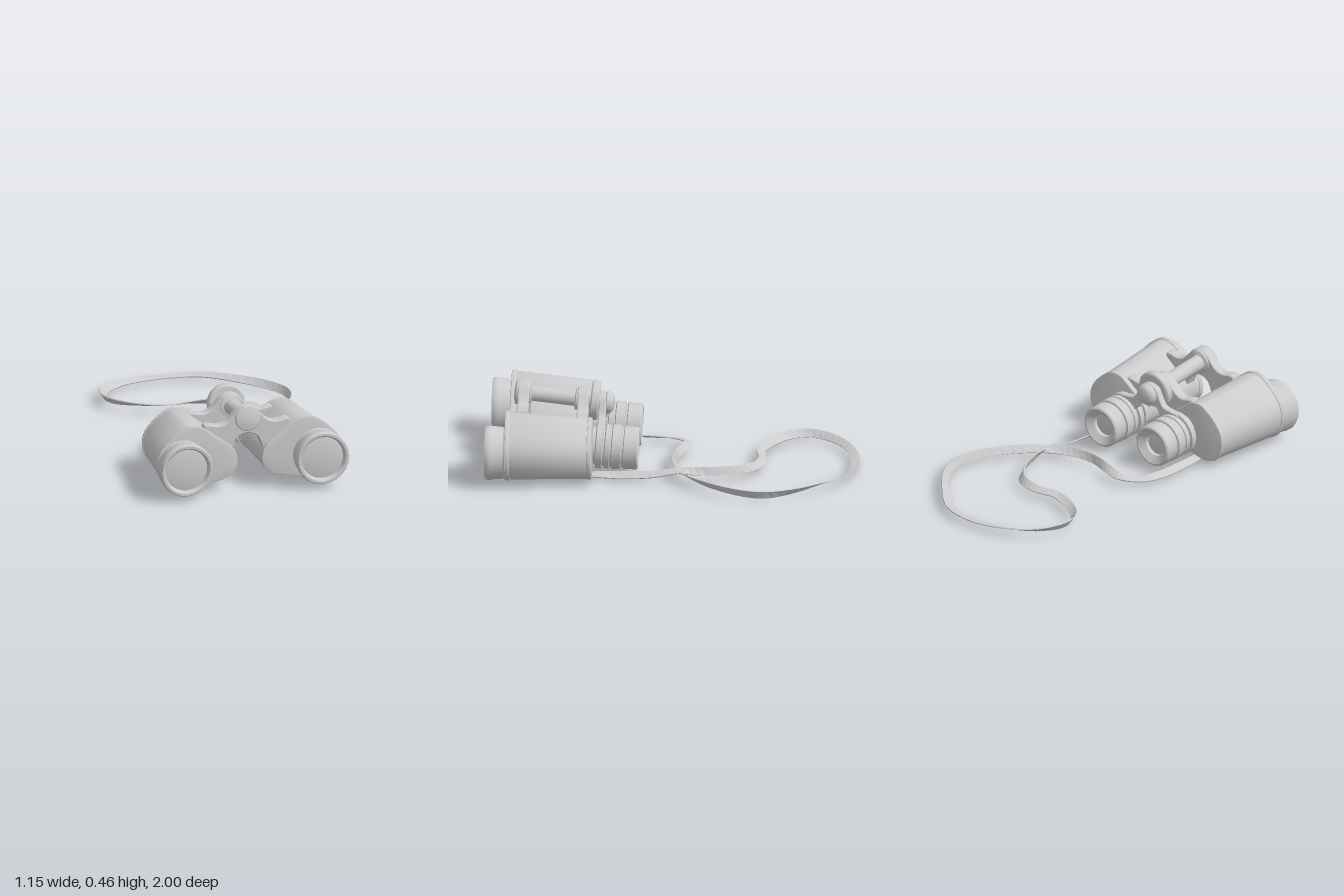
import * as THREE from 'three';
import { toCreasedNormals } from 'three/addons/utils/BufferGeometryUtils.js';

const grey = new THREE.MeshStandardMaterial({ color: 0xcccccc });
const strapGrey = new THREE.MeshStandardMaterial({ color: 0xcccccc, side: THREE.DoubleSide, flatShading: true });

function add(parent, name, geometry, x = 0, y = 0, z = 0, material = grey) {
  const mesh = new THREE.Mesh(geometry, material);
  mesh.name = name;
  mesh.position.set(x, y, z);
  parent.add(mesh);
  return mesh;
}

// Turned part along z from [radius, z] pairs, listed from back to front
function turned(profile, sides = 24) {
  const g = new THREE.LatheGeometry(profile.map(([r, z]) => new THREE.Vector2(r, z)), sides);
  return toCreasedNormals(g.rotateX(Math.PI / 2), 0.6);
}

function closedShape(points, samples) {
  const curve = new THREE.CatmullRomCurve3(points.map(([x, y]) => new THREE.Vector3(x, y, 0)), true, 'centripetal');
  return new THREE.Shape(curve.getPoints(samples).slice(0, -1).map(p => new THREE.Vector2(p.x, p.y)));
}

// Cross-section of a prism housing, measured from the hinge line
const housingSection = [
  [0.515, 0.2], [0.48, 0.28], [0.36, 0.378], [0.32, 0.383], [0.27, 0.372], [0.19, 0.315],
  [0.105, 0.25], [0.08, 0.215], [0.075, 0.15], [0.1, 0.105], [0.15, 0.078], [0.23, 0.065],
  [0.31, 0.045], [0.38, 0.033], [0.45, 0.05], [0.5, 0.11],
];

// Housing slice between two depths, tapering towards the eyepieces
function housing(side, z0, z1, grow) {
  const shape = closedShape(housingSection.map(([x, y]) => [x * side, y]), 56);
  const bevel = 0.006;
  const g = new THREE.ExtrudeGeometry(shape, {
    depth: z1 - z0 - 2 * bevel, bevelThickness: bevel, bevelSize: bevel, bevelOffset: grow - bevel, bevelSegments: 2,
  });
  g.translate(0, 0, z0 + bevel);
  const p = g.attributes.position;
  for (let i = 0; i < p.count; i++) {
    const f = 0.89 + 0.11 * (p.getZ(i) - 0.43) / 0.46;
    p.setX(i, side * (0.08 + (p.getX(i) * side - 0.08) * f));
    p.setY(i, 0.03 + (p.getY(i) - 0.03) * f);
  }
  return toCreasedNormals(g, 0.6);
}

// Symmetrical plate from the outline of its +x half
function bridge(half, depth) {
  const mirrored = half.filter(p => p[0] > 0).map(([x, y]) => [-x, y]).reverse();
  return toCreasedNormals(new THREE.ExtrudeGeometry(closedShape([...half, ...mirrored], 64), {
    depth: depth - 0.01, bevelThickness: 0.005, bevelSize: 0.005, bevelOffset: -0.005, bevelSegments: 1,
  }), 0.6);
}

// Flat strap along [x, y, z, roll] points, with a thin rectangular section
function strap(points, width, thickness, steps) {
  const curve = new THREE.CatmullRomCurve3(points.map(p => new THREE.Vector3(p[0], p[1], p[2])), false, 'centripetal');
  const up = new THREE.Vector3(0, 1, 0);
  const position = [], index = [];
  for (let i = 0; i <= steps; i++) {
    const t = i / steps, k = t * (points.length - 1);
    const a = Math.min(Math.floor(k), points.length - 2);
    const roll = THREE.MathUtils.lerp(points[a][3], points[a + 1][3], k - a);
    const c = curve.getPoint(t), dir = curve.getTangent(t);
    const across = new THREE.Vector3().crossVectors(dir, up).normalize().applyAxisAngle(dir, roll);
    const normal = new THREE.Vector3().crossVectors(across, dir).normalize();
    for (const [u, v] of [[-1, -1], [1, -1], [1, 1], [-1, 1]]) {
      const q = c.clone().addScaledVector(across, u * width / 2).addScaledVector(normal, v * thickness / 2);
      position.push(q.x, q.y, q.z);
    }
    if (i < steps) for (let j = 0; j < 4; j++) {
      const p = i * 4 + j, q = i * 4 + (j + 1) % 4;
      index.push(p, q, p + 4, q, q + 4, p + 4);
    }
  }
  const g = new THREE.BufferGeometry();
  g.setAttribute('position', new THREE.Float32BufferAttribute(position, 3));
  g.setIndex(index);
  g.computeVertexNormals();
  return g;
}

export function createModel() {
  const model = new THREE.Group();
  model.name = 'binoculars';
  const body = new THREE.Group();
  body.name = 'body';
  body.position.x = -0.05;
  model.add(body);

  // Two barrels: housing with end bands, objective and eyepiece
  for (const side of [-1, 1]) {
    const barrel = new THREE.Group();
    barrel.name = side > 0 ? 'leftBarrel' : 'rightBarrel';
    body.add(barrel);
    add(barrel, 'prismHousing', housing(side, 0.435, 0.885, 0));
    add(barrel, 'frontBand', housing(side, 0.865, 0.893, 0.005));
    add(barrel, 'rearBand', housing(side, 0.428, 0.452, 0.005));
    add(barrel, 'objective', turned([
      [0.13, 0.87], [0.142, 0.89], [0.137, 0.9], [0.14, 0.91], [0.144, 0.96], [0.147, 0.967], [0.147, 0.988],
      [0.141, 0.999], [0.128, 0.999], [0.12, 0.99], [0.117, 0.97],
    ]), side * 0.38, 0.175, 0);
    add(barrel, 'objectiveLens', turned([
      [0.12, 0.966], [0.118, 0.97], [0.09, 0.976], [0.05, 0.98], [0, 0.982],
    ]), side * 0.38, 0.175, 0);
    const eyepiece = add(barrel, 'eyepiece', turned([
      [0, 0.222], [0.03, 0.224], [0.062, 0.23], [0.064, 0.212], [0.09, 0.192], [0.1, 0.184], [0.108, 0.184],
      [0.115, 0.192], [0.117, 0.262], [0.109, 0.266], [0.109, 0.274], [0.12, 0.278], [0.121, 0.325], [0.112, 0.33],
      [0.112, 0.337], [0.119, 0.34], [0.119, 0.362], [0.108, 0.367], [0.108, 0.376], [0.122, 0.38], [0.122, 0.41],
      [0.1, 0.416], [0.1, 0.45], [0, 0.45],
    ]), side * 0.185, 0.135, 0);
    eyepiece.rotation.x = -0.05;
  }

  // Hinge: plates over the housings
  const plate = [
    [0, 0.455], [0.045, 0.442], [0.08, 0.405], [0.115, 0.372], [0.16, 0.358], [0.21, 0.367], [0.235, 0.365],
    [0.24, 0.345], [0.17, 0.27], [0.115, 0.225], [0.092, 0.215], [0.08, 0.235], [0.055, 0.285], [0, 0.305],
  ];
  add(body, 'frontHingePlate', bridge(plate, 0.06), 0, 0, 0.785);
  add(body, 'rearHingePlate', bridge(plate, 0.06), 0, -0.035, 0.465);

  // Hinge axis: shaft, end cap, focus wheel and knob on one sloping line
  const axis = new THREE.Group();
  axis.name = 'hingeAxis';
  axis.position.y = 0.297;
  axis.rotation.x = -0.11;
  body.add(axis);
  add(axis, 'shaft', turned([[0, 0.42], [0.042, 0.42], [0.042, 0.82], [0, 0.82]]));
  add(axis, 'endCap', turned([
    [0.05, 0.77], [0.068, 0.78], [0.07, 0.85], [0.066, 0.858], [0.04, 0.865], [0, 0.868],
  ]));
  add(axis, 'rearHub', turned([[0, 0.46], [0.06, 0.46], [0.06, 0.535], [0.042, 0.54]]));
  add(axis, 'focusWheel', turned([
    [0, 0.408], [0.095, 0.408], [0.104, 0.415], [0.104, 0.448], [0.095, 0.456], [0, 0.456],
  ], 32));
  add(axis, 'focusKnob', turned([
    [0, 0.325], [0.035, 0.328], [0.052, 0.338], [0.06, 0.352], [0.06, 0.37], [0.046, 0.38], [0.042, 0.42],
  ]));

  // Arms carrying the eyepieces
  add(body, 'eyepieceArms', bridge([
    [0, 0.395], [0.05, 0.378], [0.075, 0.335], [0.105, 0.29], [0.16, 0.278], [0.21, 0.268],
    [0.22, 0.22], [0.13, 0.2], [0.085, 0.225], [0.055, 0.27], [0, 0.282],
  ], 0.04), 0, 0, 0.372);

  // Strap lugs under the barrels
  add(model, 'leftStrapLug', new THREE.BoxGeometry(0.055, 0.05, 0.05), 0.22, 0.027, 0.55);
  const lug = add(model, 'rightStrapLug', new THREE.BoxGeometry(0.05, 0.045, 0.05), -0.325, 0.038, 0.55);
  lug.rotation.z = 0.3;

  // Neck strap lying in a loose loop behind
  add(model, 'neckStrap', strap([
    [0.22, 0.02, 0.55, 0], [0.245, 0.03, 0.42, 0.3], [0.26, 0.035, 0.27, 0.7], [0.27, 0.045, 0.1, 0.5],
    [0.275, 0.07, -0.04, 0.3], [0.265, 0.065, -0.18, 1.2], [0.22, 0.06, -0.33, 1.2], [0.14, 0.055, -0.44, 0.9],
    [0.02, 0.05, -0.475, 0.5], [-0.12, 0.05, -0.46, 0.3], [-0.27, 0.05, -0.52, 0.5], [-0.38, 0.05, -0.61, 0.9],
    [-0.41, 0.05, -0.71, 1.0], [-0.355, 0.045, -0.83, 0.7], [-0.22, 0.04, -0.93, 0.4], [0, 0.033, -0.975, 0.15],
    [0.2, 0.038, -0.945, 0.3], [0.35, 0.045, -0.82, 0.5], [0.5, 0.045, -0.65, 0.9], [0.562, 0.045, -0.5, 1.2],
    [0.53, 0.05, -0.35, 1.1], [0.42, 0.055, -0.18, 0.9], [0.28, 0.055, -0.06, 0.5], [0.15, 0.06, -0.01, 0.9],
    [0, 0.06, -0.005, 1.3], [-0.12, 0.06, -0.045, 0.8], [-0.23, 0.05, -0.06, 0.3], [-0.315, 0.04, 0.0, 0.2],
    [-0.35, 0.035, 0.12, 0.5], [-0.358, 0.035, 0.27, 0.5], [-0.345, 0.03, 0.42, 0.3], [-0.325, 0.025, 0.55, 0],
  ], 0.048, 0.006, 110), 0, 0, 0, strapGrey);

  return model;
}
